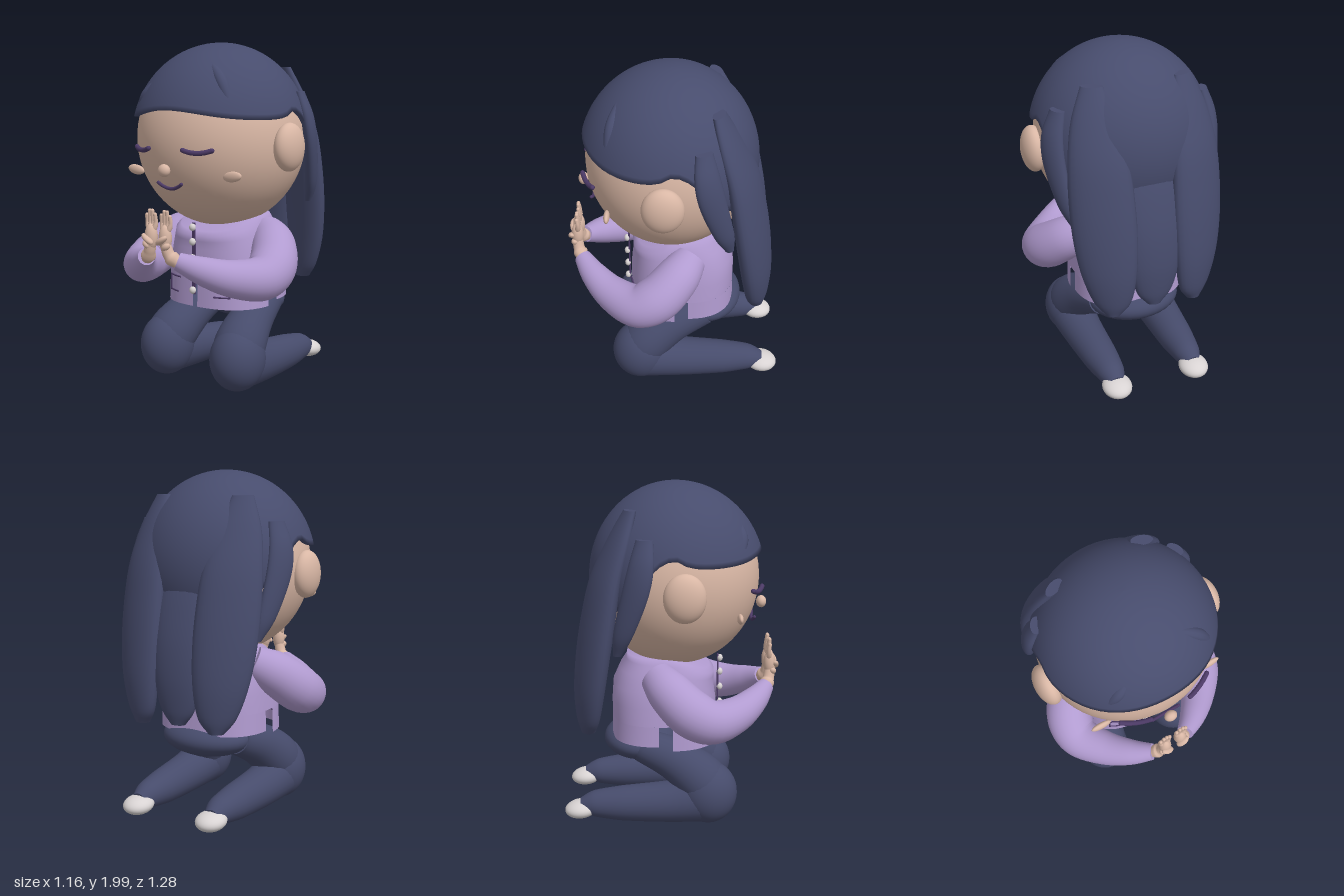
import * as THREE from 'three';

const mat = (name, color, side = THREE.FrontSide) => {
  const m = new THREE.MeshStandardMaterial({ color, side });
  m.name = name;
  return m;
};
const V = (x, y, z) => new THREE.Vector3(x, y, z);

// Surface through a list of point rings, with optional flat end caps
function loft(rings, { closed = true, caps = true } = {}) {
  const n = rings[0].length, pos = [], idx = [];
  rings.forEach(r => r.forEach(p => pos.push(p.x, p.y, p.z)));
  for (let j = 0; j < rings.length - 1; j++) {
    for (let i = 0; i < (closed ? n : n - 1); i++) {
      const k = (i + 1) % n, a = j * n + i, b = j * n + k;
      idx.push(a, b, b + n, a, b + n, a + n);
    }
  }
  if (caps) [rings[0], rings[rings.length - 1]].forEach((ring, end) => {
    const c = ring.reduce((s, p) => s.add(p), V(0, 0, 0)).divideScalar(n), base = pos.length / 3;
    [c, ...ring].forEach(p => pos.push(p.x, p.y, p.z));
    for (let i = 0; i < n; i++) {
      const a = base + 1 + i, b = base + 1 + (i + 1) % n;
      idx.push(base, ...(end ? [a, b] : [b, a]));
    }
  });
  const g = new THREE.BufferGeometry();
  g.setAttribute('position', new THREE.Float32BufferAttribute(pos, 3));
  g.setIndex(idx);
  g.computeVertexNormals();
  return g;
}

// Round limb along a curve; stations are [x, y, z, radius]
function limb(stations, steps = 24, sides = 24) {
  const path = new THREE.CatmullRomCurve3(stations.map(s => V(s[0], s[1], s[2])));
  const radii = new THREE.CatmullRomCurve3(stations.map(s => V(s[3], 0, 0)));
  path.getPointAt = path.getPoint;
  path.getTangentAt = path.getTangent;
  const { normals, binormals } = path.computeFrenetFrames(steps);
  return loft(normals.map((u, j) => {
    const c = path.getPoint(j / steps), r = radii.getPoint(j / steps).x;
    return Array.from({ length: sides }, (_, i) => {
      const a = i / sides * Math.PI * 2;
      return c.clone().addScaledVector(u, r * Math.cos(a)).addScaledVector(binormals[j], r * Math.sin(a));
    });
  }));
}

// Flat lock of hair, bottom to top; stations are [x, y, z, halfWidth, halfThickness]
function lock(stations, turn, s = 1) {
  const path = new THREE.CatmullRomCurve3(stations.map(p => V(s * p[0], p[1], p[2])), false, 'catmullrom');
  const size = new THREE.CatmullRomCurve3(stations.map(p => V(p[3], p[4], 0)), false, 'catmullrom');
  const w = V(Math.cos(turn), 0, s * Math.sin(turn)), d = V(-w.z, 0, w.x), rings = [];
  for (let j = 0; j <= 32; j++) {
    const c = path.getPoint(j / 32), k = size.getPoint(j / 32);
    rings.push(Array.from({ length: 24 }, (_, i) => {
      const a = i / 24 * Math.PI * 2;
      return c.clone().addScaledVector(w, k.x * Math.sin(a)).addScaledVector(d, k.y * Math.cos(a));
    }));
  }
  return loft(rings);
}

// Horizontal squarish section of the jacket, dipping at the front of the neck; section is [y, halfX, halfZ, centreZ]
const sgnPow = v => Math.sign(v) * Math.abs(v) ** (2 / 2.6);
const jacketRing = ([y, a, b, zc], from, to, n) => Array.from({ length: n }, (_, i) => {
  const t = from + (to - from) * i / (n - 1), z = zc + b * sgnPow(Math.cos(t));
  return V(a * sgnPow(Math.sin(t)), y - 1.9 * Math.max(0, y - 0.8) * Math.max(0, z), z);
});
const jacketZ = x => -0.045 + 0.31 * (1 - Math.abs(x / 0.33) ** 2.6) ** (1 / 2.6);
const ballZ = (x, y, r, ry) => 0.02 + r * Math.sqrt(Math.max(0, 1 - (x / r) ** 2 - ((y - 1.45) / ry) ** 2));

export function createModel() {
  const hair = mat('navy hair', 0x474c6d), cloth = mat('navy trousers', 0x464b6b);
  const skin = mat('skin', 0xd9b7a5), lilac = mat('lilac jacket', 0xb19bd0, THREE.DoubleSide);
  const line = mat('dark purple trim', 0x4c3a66), white = mat('off white', 0xd8d3d3);
  const model = new THREE.Group();
  const add = (name, geo, material) => {
    const m = new THREE.Mesh(geo, material);
    m.name = name;
    model.add(m);
    return m;
  };
  const ball = (name, material, [x, y, z], [rx, ry, rz], seg = 32) => {
    const m = add(name, new THREE.SphereGeometry(1, seg, Math.ceil(seg * 0.7)), material);
    m.position.set(x, y, z);
    m.scale.set(rx, ry, rz);
    return m;
  };
  const wire = (name, pts, r) =>
    add(name, new THREE.TubeGeometry(new THREE.CatmullRomCurve3(pts), 16, r, 8), line);

  // Head and face
  ball('head', skin, [0, 1.45, 0.02], [0.5, 0.52, 0.49], 56);
  ball('nose', skin, [0, 1.29, 0.53], [0.038, 0.036, 0.03]);
  const faceArc = (name, x0, x1, y, dip, lift, r) => {
    const pts = [];
    for (let i = 0; i <= 8; i++) {
      const t = i / 8, x = x0 + (x1 - x0) * t, yy = y - dip * (1 - (2 * t - 1) ** 2);
      pts.push(V(x, yy, ballZ(x, yy, 0.5, 0.52) + lift));
    }
    wire(name, pts, r);
    [pts[0], pts[8]].forEach(p => ball(name + 'End', line, p.toArray(), [r, r, r], 10));
  };
  faceArc('mouth', -0.085, 0.085, 1.215, 0.03, 0.025, 0.01);

  // Hair cap: long and flatter at the back, with a thin inner lip
  const edgeY = a => {
    const c = Math.cos(a);
    if (c > 0) return 1.568 + 0.052 * c ** 5 + 0.045 * (1 - c) ** 8;
    return 1.613 - 0.33 * THREE.MathUtils.smoothstep(-c, 0.05, 0.85);
  };
  const capRings = [];
  for (let j = -1; j <= 24; j++) {
    capRings.push(Array.from({ length: 64 }, (_, i) => {
      const a = i / 64 * Math.PI * 2, r = j < 0 ? 0.48 : 0.526, c = Math.cos(a);
      const phi = Math.acos((edgeY(a) - 1.45) / 0.55) * (1 - Math.max(j, 0) / 24.02);
      return V(r * Math.sin(phi) * Math.sin(a), 1.45 + 0.55 * Math.cos(phi), 0.02 + r * Math.sin(phi) * c * (c < 0 ? 0.955 : 1));
    }));
  }
  add('hairCap', loft(capRings, { caps: false }), hair);
  add('middleBackLock', lock([
    [0, 0.59, -0.495, 0.045, 0.035], [0, 0.68, -0.5, 0.11, 0.05], [0, 0.85, -0.5, 0.15, 0.062],
    [0, 1.05, -0.48, 0.165, 0.066], [0, 1.25, -0.44, 0.165, 0.06], [0, 1.43, -0.39, 0.14, 0.05]], 0), hair);

  // Jacket body, with a split hem below it
  const body = [[0.62, 0.33, 0.31, -0.045], [0.72, 0.322, 0.31, -0.047], [0.82, 0.31, 0.3, -0.05],
    [0.91, 0.288, 0.28, -0.03], [0.97, 0.27, 0.262, -0.01], [1.0, 0.245, 0.245, -0.02], [1.01, 0.14, 0.14, -0.02]];
  add('jacketBody', loft(body.map(s => jacketRing(s, 0, Math.PI * 2, 65).slice(0, 64))), lilac);
  const hem = (name, from, to, low) => add(name, loft(
    [[low, 0.335, 0.315, -0.045], body[0]].map(s => jacketRing(s, from, to, 40)), { closed: false, caps: false }), lilac);
  hem('hemLeftFront', 0.02, 1.49, 0.475);
  hem('hemRightFront', -1.49, -0.02, 0.475);
  hem('hemBack', 1.63, Math.PI * 2 - 1.63, 0.5);

  // Button placket
  const placket = add('placket', new THREE.BoxGeometry(0.022, 0.42, 0.009), line);
  placket.position.set(0, 0.76, 0.278);
  for (const y of [0.575, 0.67, 0.765, 0.86, 0.945]) ball('button', white, [0, y, 0.29], [0.021, 0.022, 0.018], 16);

  ball('pelvis', cloth, [0, 0.455, -0.19], [0.28, 0.115, 0.22]);

  for (const s of [1, -1]) {
    const side = s > 0 ? 'left' : 'right';
    ball(side + 'Ear', skin, [s * 0.51, 1.415, 0.06], [0.07, 0.136, 0.118]);
    ball(side + 'Cheek', skin, [s * 0.355, 1.265, 0.375], [0.062, 0.029, 0.017]).rotation.z = s * 0.12;
    faceArc(side + 'ClosedEye', s * 0.125, s * 0.275, 1.407, 0.015, 0.016, 0.014);

    // Hair locks
    add(side + 'BackLock', lock([
      [0.25, 0.57, -0.49, 0.045, 0.04], [0.255, 0.66, -0.49, 0.11, 0.06], [0.27, 0.83, -0.48, 0.155, 0.075],
      [0.28, 1.04, -0.455, 0.178, 0.08], [0.285, 1.26, -0.42, 0.18, 0.078], [0.285, 1.48, -0.375, 0.165, 0.07],
      [0.28, 1.68, -0.305, 0.125, 0.055], [0.265, 1.86, -0.235, 0.06, 0.03]], 0.4, s), hair);
    add(side + 'SideLock', lock([
      [0.4, 1.07, -0.31, 0.025, 0.02], [0.44, 1.2, -0.275, 0.06, 0.035], [0.475, 1.42, -0.21, 0.08, 0.04],
      [0.47, 1.58, -0.175, 0.075, 0.04], [0.43, 1.72, -0.155, 0.05, 0.03]], 1.1, s), hair);
    const ridge = s > 0 ? [[0.13, 1.88], [0.25, 1.77], [0.33, 1.63]] : [[-0.18, 1.78], [-0.25, 1.7], [-0.32, 1.61]];
    add(side + 'FringeRidge', limb(ridge.map(([x, y], i) =>
      [x, y, ballZ(x, y, 0.526, 0.55) - 0.035, i === 1 ? 0.038 : 0.02]), 14, 14), hair);

    // Sleeve
    add(side + 'Sleeve', limb([
      [s * 0.25, 0.9, -0.09, 0.1], [s * 0.35, 0.84, -0.02, 0.128], [s * 0.43, 0.74, 0.1, 0.138],
      [s * 0.435, 0.69, 0.21, 0.128], [s * 0.34, 0.7, 0.36, 0.105], [s * 0.22, 0.75, 0.48, 0.078],
      [s * 0.115, 0.8, 0.555, 0.05]], 40, 28), lilac);

    // Hand with raised fingers
    add(side + 'Wrist', limb([[s * 0.115, 0.79, 0.55, 0.034], [s * 0.075, 0.83, 0.575, 0.034], [s * 0.052, 0.9, 0.585, 0.03]], 10, 16), skin);
    ball(side + 'Palm', skin, [s * 0.052, 0.925, 0.583], [0.038, 0.075, 0.036], 24);
    [1.06, 1.08, 1.08, 1.055].forEach((top, i) => {
      const x = s * (0.024 + i * 0.02);
      add(side + 'Finger', limb([[s * 0.05, 0.93, 0.585, 0.012], [x, 1.0, 0.575, 0.012], [x, top - 0.01, 0.58, 0.011]], 8, 10), skin);
      ball(side + 'Fingertip', skin, [x, top - 0.01, 0.58], [0.011, 0.011, 0.011], 12);
    });
    ball(side + 'Thumb', skin, [s * 0.052, 0.915, 0.615], [0.045, 0.018, 0.024], 16).rotation.z = s * 0.6;
    ball(side + 'ThumbBase', skin, [s * 0.07, 0.88, 0.6], [0.03, 0.02, 0.022], 16).rotation.z = s * 0.6;

    // Pocket outline
    const seam = (x0, y0, x1, y1) => wire(side + 'PocketSeam', [0, 0.5, 1].map(t => {
      const x = s * (x0 + (x1 - x0) * t);
      return V(x, y0 + (y1 - y0) * t, jacketZ(x) + 0.005);
    }), 0.005);
    seam(0.11, 0.635, 0.22, 0.635);
    seam(0.22, 0.64, 0.22, 0.54);
    seam(0.13, 0.545, 0.22, 0.545);

    // Kneeling leg
    add(side + 'Thigh', limb([[s * 0.19, 0.465, -0.18, 0.1], [s * 0.225, 0.38, 0.02, 0.128],
      [s * 0.255, 0.27, 0.17, 0.15], [s * 0.266, 0.2, 0.22, 0.145]]), cloth);
    ball(side + 'Knee', cloth, [s * 0.268, 0.195, 0.21], [0.158, 0.188, 0.172], 40);
    add(side + 'Shin', limb([[s * 0.268, 0.16, 0.2, 0.145], [s * 0.265, 0.135, 0, 0.125],
      [s * 0.255, 0.12, -0.3, 0.104], [s * 0.25, 0.115, -0.46, 0.08], [s * 0.25, 0.1, -0.54, 0.05]]), cloth);
    ball(side + 'Shoe', white, [s * 0.25, 0.085, -0.545], [0.088, 0.053, 0.097]).rotation.x = -0.1;
  }
  return model;
}
